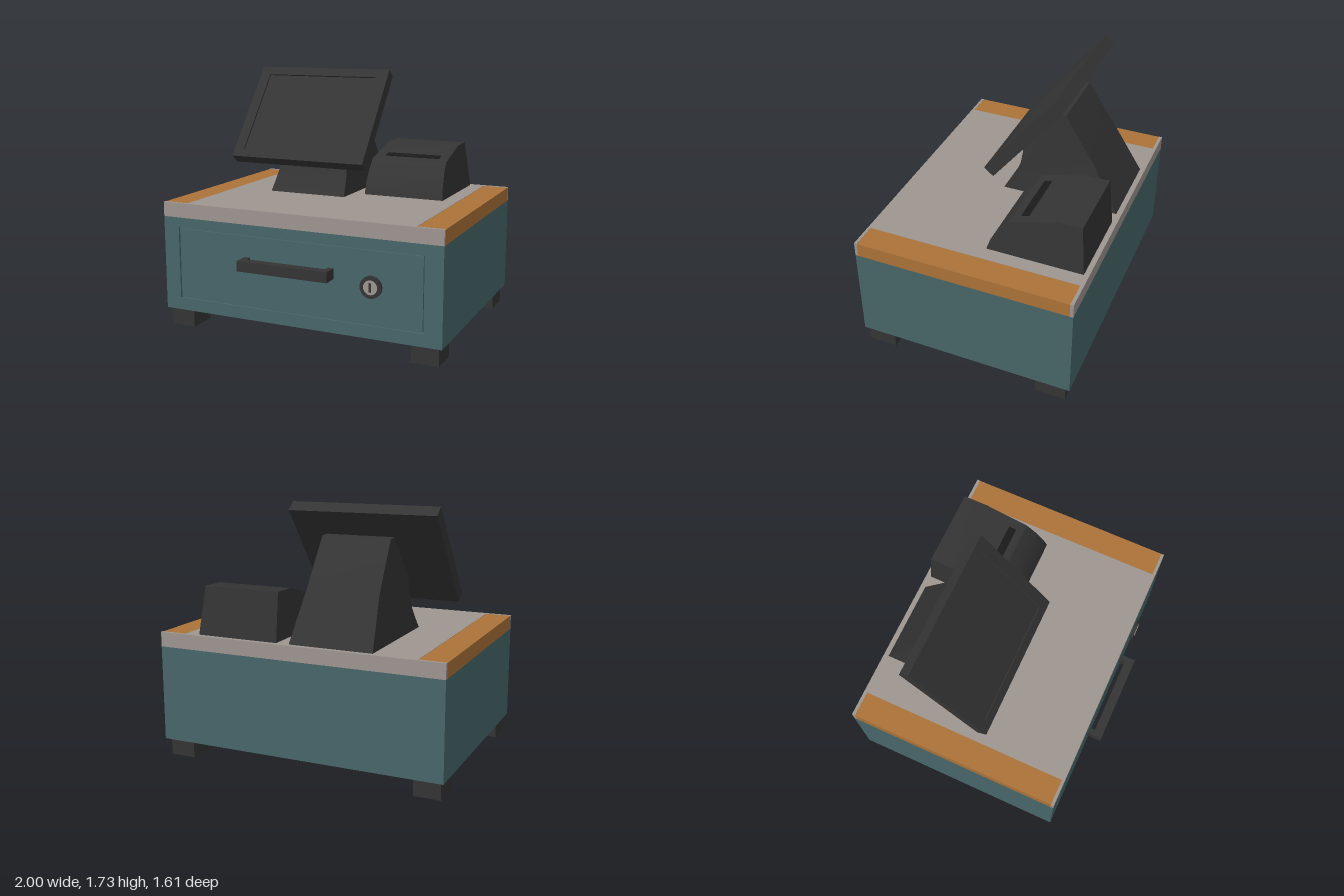
import * as THREE from 'three';
import { toCreasedNormals } from 'three/addons/utils/BufferGeometryUtils.js';

const mat = (name, color) => {
  const m = new THREE.MeshStandardMaterial({ color });
  m.name = name;
  return m;
};

export function createModel() {
  const teal = mat('teal paint', 0x476669);
  const wood = mat('wood', 0xab7238);
  const grey = mat('warm grey', 0x9e9590);
  const dark = mat('charcoal plastic', 0x343434);
  const black = mat('black slot', 0x1a1a1a);

  const model = new THREE.Group();
  model.name = 'cashRegister';

  const add = (name, geometry, material, parent = model) => {
    const mesh = new THREE.Mesh(geometry, material);
    mesh.name = name;
    parent.add(mesh);
    return mesh;
  };
  // Box given by its limits on each axis
  const box = (name, material, [x0, x1], [y0, y1], [z0, z1], parent) =>
    add(name, new THREE.BoxGeometry(x1 - x0, y1 - y0, z1 - z0)
      .translate((x0 + x1) / 2, (y0 + y1) / 2, (z0 + z1) / 2), material, parent);
  // Rectangular frame in the XY plane: outer and inner limits, extruded along z
  const frame = (o, i, depth) => {
    const corners = ([x0, x1, y0, y1]) =>
      [[x0, y0], [x1, y0], [x1, y1], [x0, y1]].map(p => new THREE.Vector2(...p));
    const shape = new THREE.Shape(corners(o));
    shape.holes.push(new THREE.Path(corners(i)));
    return new THREE.ExtrudeGeometry(shape, { depth, bevelEnabled: false });
  };
  // Side profile of [z, y] points made one unit wide, then x is set by height
  const sideBody = (points, xAt) => {
    const shape = new THREE.Shape(points.map(p => new THREE.Vector2(...p)));
    const g = new THREE.ExtrudeGeometry(shape, { depth: 1, bevelEnabled: false });
    g.rotateY(-Math.PI / 2).translate(0.5, 0, 0);
    const pos = g.attributes.position;
    for (let i = 0; i < pos.count; i++) {
      pos.setX(i, xAt(Math.sign(pos.getX(i)), pos.getY(i)));
    }
    return toCreasedNormals(g, 0.35);
  };

  // Cabinet with a grooved drawer front
  box('cabinet', teal, [-1, 1], [0.12, 0.77], [-0.805, 0.685]);
  add('cabinetFrontFrame', frame([-1, 1, 0.12, 0.77], [-0.885, 0.885, 0.205, 0.705], 0.015), teal)
    .position.z = 0.685;
  box('drawerFront', teal, [-0.873, 0.873], [0.217, 0.693], [0.68, 0.7]);

  // Feet
  for (const s of [-1, 1]) {
    for (const z of [[0.48, 0.68], [-0.77, -0.56]]) {
      box('foot', dark, s > 0 ? [0.795, 0.975] : [-0.975, -0.795], [0, 0.12], z);
    }
  }

  // Counter top with wooden side strips and end caps
  box('counterTop', grey, [-0.82, 0.82], [0.77, 0.87], [-0.805, 0.7]);
  for (const s of [-1, 1]) {
    const x = s > 0 ? [0.82, 1] : [-1, -0.82];
    box('woodStrip', wood, x, [0.77, 0.868], [-0.782, 0.68]);
    box('frontCap', grey, x, [0.77, 0.87], [0.68, 0.7]);
    box('backCap', grey, x, [0.77, 0.87], [-0.805, -0.782]);
  }

  // Drawer handle
  const handle = new THREE.Group();
  handle.name = 'handle';
  model.add(handle);
  box('handleBar', dark, [-0.372, 0.275], [0.48, 0.55], [0.74, 0.805], handle);
  for (const x of [[-0.372, -0.33], [0.233, 0.275]]) {
    box('handlePost', dark, x, [0.48, 0.55], [0.7, 0.74], handle);
  }

  // Lock: ring, cylinder face and keyhole
  const lock = new THREE.Group();
  lock.name = 'lock';
  lock.position.set(0.535, 0.462, 0.7);
  model.add(lock);
  const disc = (name, r, depth, material) =>
    add(name, new THREE.CylinderGeometry(r, r, depth, 32).rotateX(Math.PI / 2)
      .translate(0, 0, depth / 2), material, lock);
  disc('lockRing', 0.072, 0.022, dark);
  disc('lockFace', 0.047, 0.026, grey);
  box('keyhole', dark, [-0.008, 0.008], [-0.03, 0.03], [0.02, 0.029], lock);

  // Screen stand, flaring towards its foot
  add('screenStand', sideBody([
    [0.05, 0.87], [0.005, 0.94], [-0.035, 1.01], [-0.063, 1.09], [-0.075, 1.17], [-0.07, 1.24],
    [-0.29, 1.525], [-0.37, 1.52], [-0.58, 1.2], [-0.77, 0.87],
  ].reverse(), (s, y) => -0.235 + s * (0.24 + 0.047 * ((1.52 - y) / 0.65) ** 2)), dark);

  // Tilted screen: back shell, raised bezel around a sunken panel
  const screen = new THREE.Group();
  screen.name = 'screen';
  screen.position.set(-0.29, 1.427, -0.12);
  screen.rotation.x = -0.673;
  model.add(screen);
  box('screenShell', dark, [-0.51, 0.51], [-0.393, 0.393], [-0.085, -0.012], screen);
  add('screenBezel', frame([-0.51, 0.51, -0.393, 0.393], [-0.435, 0.427, -0.33, 0.325], 0.012), dark, screen)
    .position.z = -0.012;

  // Receipt printer with a sloped lid and paper slot
  add('printer', sideBody([
    [-0.11, 0.87], [-0.135, 0.945], [-0.19, 1.035], [-0.26, 1.11], [-0.565, 1.192], [-0.735, 1.195], [-0.77, 0.87],
  ].reverse(), (s, y) => (s < 0 ? 0.142 : 0.72 - 0.04 * (y - 0.87) / 0.325)), dark);
  const slot = box('paperSlot', black, [-0.2, 0.2], [-0.003, 0.003], [-0.027, 0.027]);
  slot.position.set(0.42, 1.131, -0.338);
  slot.rotation.x = Math.atan2(0.082, 0.305);

  return model;
}
